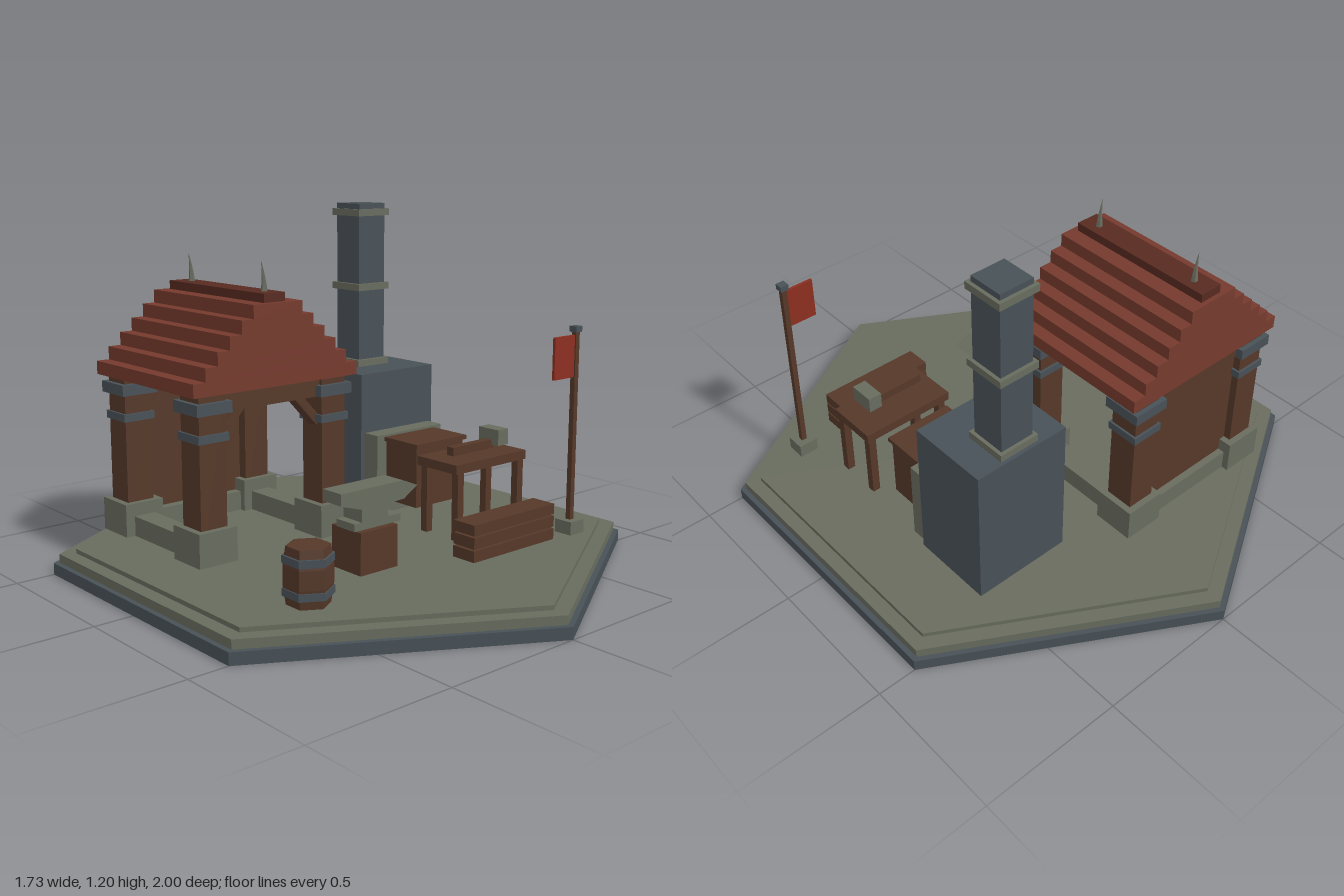
import * as THREE from 'three';

const mat = (name, color) => Object.assign(new THREE.MeshStandardMaterial({ color, flatShading: true }), { name });

export function createModel() {
  const root = new THREE.Group();
  root.name = 'smithy';
  const stone = mat('stone', 0x686c5e);
  const slate = mat('slate', 0x485157);
  const wood = mat('wood', 0x553829);
  const tile = mat('roof tile', 0x753a2d);
  const ridgeRed = mat('ridge', 0x572a20);
  const cloth = mat('flag cloth', 0x8c2f20);

  const group = (name) => {
    const g = new THREE.Group();
    g.name = name;
    root.add(g);
    return g;
  };
  const add = (parent, name, geo, material, x = 0, y = 0, z = 0) => {
    const m = new THREE.Mesh(geo, material);
    m.name = name;
    m.position.set(x, y, z);
    parent.add(m);
    return m;
  };
  // box given by its limits on each axis
  const box = (parent, name, material, x0, x1, y0, y1, z0, z1) =>
    add(parent, name, new THREE.BoxGeometry(x1 - x0, y1 - y0, z1 - z0), material,
      (x0 + x1) / 2, (y0 + y1) / 2, (z0 + z1) / 2);
  // square block centred on x, z
  const block = (parent, name, material, x, z, w, y0, y1) =>
    box(parent, name, material, x - w / 2, x + w / 2, y0, y1, z - w / 2, z + w / 2);

  // hexagonal ground
  const base = group('base');
  [[1, 0, 0.04, slate], [0.98, 0.04, 0.07, stone], [0.925, 0.07, 0.085, stone]].forEach(([r, y0, y1, m]) =>
    add(base, 'baseLayer', new THREE.CylinderGeometry(r, r, y1 - y0, 6), m, 0, (y0 + y1) / 2, 0));
  const G = 0.085;

  // open shelter with four banded pillars
  const house = group('shelter');
  const cx = -0.285, zs = [-0.087, -0.53];
  for (const x of [cx - 0.25, cx + 0.25]) {
    for (const z of zs) {
      block(house, 'pillar', wood, x, z, 0.102, G, 0.64);
      block(house, 'pillarFoot', stone, x, z, 0.148, G, 0.2);
      block(house, 'lowerBand', slate, x, z, 0.118, 0.485, 0.512);
      block(house, 'upperBand', slate, x, z, 0.136, 0.577, 0.615);
    }
    box(house, 'sideSill', stone, x - 0.04, x + 0.04, G, 0.155, zs[1], zs[0]);
  }
  for (const z of zs) {
    box(house, 'crossBeam', wood, cx - 0.3, cx + 0.3, 0.575, 0.64, z - 0.04, z + 0.04);
    for (const s of [-1, 1]) {
      const brace = add(house, 'brace', new THREE.BoxGeometry(0.16, 0.03, 0.05), wood, cx + s * 0.165, 0.53, z);
      brace.rotation.z = -s * 0.82;
    }
  }
  box(house, 'backWall', wood, cx - 0.22, cx + 0.22, G, 0.6, -0.555, -0.515);
  box(house, 'backSill', stone, cx - 0.25, cx + 0.25, G, 0.155, -0.58, -0.48);

  // stepped roof, ridge and curved spikes
  const roof = group('roof');
  const h = 0.0455;
  for (let i = 0; i < 6; i++) {
    const w = 0.335 - i * 0.0472;
    box(roof, 'roofCourse', tile, cx - w, cx + w, 0.64 + i * h, 0.64 + (i + 1) * h, -0.598, -0.012);
  }
  box(roof, 'ridge', ridgeRed, cx - 0.043, cx + 0.043, 0.91, 0.943, -0.582, -0.032);
  for (const z of [-0.092, -0.513]) {
    const geo = new THREE.ConeGeometry(0.012, 0.105, 5, 4);
    const p = geo.attributes.position;
    for (let i = 0; i < p.count; i++) {
      const t = p.getY(i) / 0.105 + 0.5;
      p.setX(i, p.getX(i) - 0.012 * t * t);
    }
    geo.computeVertexNormals();
    add(roof, 'roofSpike', geo, stone, cx + 0.004, 0.993, z);
  }

  // furnace with chimney
  const furnace = group('furnace');
  box(furnace, 'furnaceBody', slate, 0.213, 0.568, G, 0.595, -0.468, -0.172);
  block(furnace, 'chimney', slate, 0.392, -0.38, 0.125, 0.595, 1.2);
  for (const y of [0.595, 0.88, 1.155]) block(furnace, 'chimneyBand', stone, 0.392, -0.38, 0.15, y, y + 0.025);
  box(furnace, 'hearth', stone, 0.23, 0.552, G, 0.378, -0.175, -0.103);

  // chest in front of the hearth
  const chest = group('chest');
  box(chest, 'chestBody', wood, 0.275, 0.507, 0.135, 0.355, -0.105, 0.055);
  box(chest, 'chestLid', wood, 0.265, 0.515, 0.355, 0.37, -0.105, 0.067);

  // workbench
  const bench = group('workbench');
  box(bench, 'benchTop', wood, 0.205, 0.553, 0.322, 0.354, 0.132, 0.32);
  for (const x of [0.231, 0.53])
    for (const z of [0.154, 0.303]) block(bench, 'benchLeg', wood, x, z, 0.028, G, 0.322);

  // hammer lying on the workbench
  const hammer = group('hammer');
  box(hammer, 'hammerHandle', wood, 0.25, 0.45, 0.368, 0.398, 0.231, 0.261);
  box(hammer, 'hammerHead', stone, 0.44, 0.49, 0.38, 0.436, 0.2, 0.292);

  // anvil on a block
  const anvil = group('anvil');
  box(anvil, 'anvilBlock', wood, -0.265, -0.108, G, 0.225, 0.23, 0.368);
  const outline = [[-0.325, 0.357], [-0.325, 0.318], [-0.24, 0.292], [-0.24, 0.25], [-0.27, 0.25], [-0.27, 0.225],
    [-0.075, 0.225], [-0.075, 0.25], [-0.13, 0.25], [-0.13, 0.292], [-0.06, 0.295], [0, 0.33], [-0.065, 0.357]];
  const shape = new THREE.Shape(outline.map(([x, y]) => new THREE.Vector2(x, y)));
  add(anvil, 'anvilBody', new THREE.ExtrudeGeometry(shape, { depth: 0.088, bevelEnabled: false }), stone, 0, 0, 0.257);

  // stacked planks
  const planks = group('planks');
  [[0.1, 0.138], [0.144, 0.182], [0.188, 0.224]].forEach(([a, b]) =>
    box(planks, 'plank', wood, 0.065, 0.453, a, b, 0.447, 0.54));

  // flag on a pole
  const flag = group('flag');
  block(flag, 'poleFoot', stone, 0.598, 0.49, 0.07, G, 0.132);
  block(flag, 'pole', wood, 0.598, 0.49, 0.019, 0.13, 0.79);
  block(flag, 'poleCap', slate, 0.598, 0.49, 0.03, 0.79, 0.81);
  box(flag, 'flagCloth', cloth, 0.487, 0.59, 0.635, 0.78, 0.485, 0.495);

  // six-sided barrel
  const barrel = group('barrel');
  const profile = [[0, 0], [0.068, 0], [0.077, 0.06], [0.077, 0.12], [0.068, 0.18], [0, 0.18]];
  add(barrel, 'barrelBody', new THREE.LatheGeometry(profile.map(([r, y]) => new THREE.Vector2(r, y)), 6),
    wood, -0.533, G, 0.44);
  for (const y of [0.125, 0.226])
    add(barrel, 'barrelHoop', new THREE.CylinderGeometry(0.08, 0.08, 0.024, 6), slate, -0.533, y, 0.44);
  return root;
}
